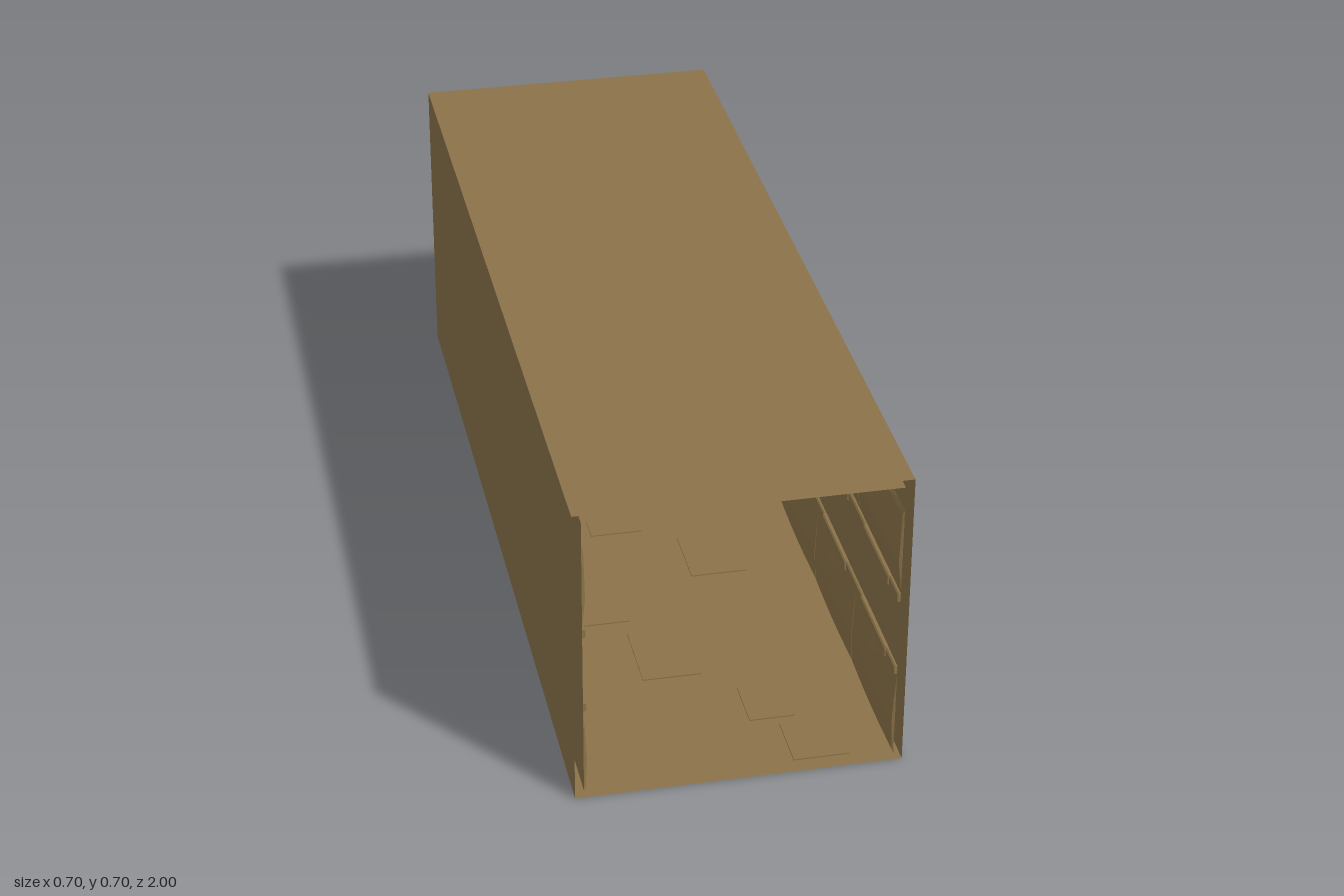
import * as THREE from 'three';

export function createModel() {
  const root = new THREE.Group();
  root.name = 'corridor';
  const tan = new THREE.MeshStandardMaterial({ color: 0x8b7349, side: THREE.DoubleSide, flatShading: true });
  tan.name = 'tan metal';

  const add = (geometry, name, x = 0, y = 0, z = 0, parent = root) => {
    const mesh = new THREE.Mesh(geometry, tan);
    mesh.name = name;
    mesh.position.set(x, y, z);
    parent.add(mesh);
    return mesh;
  };

  // Open-ended rectangular sleeve made of four thin sheets
  const sleeve = (name, hw, y0, y1, facing) => {
    const group = new THREE.Group();
    group.name = name;
    root.add(group);
    const mid = (y0 + y1) / 2;
    const flat = new THREE.PlaneGeometry(2 * hw, 2);
    const side = new THREE.PlaneGeometry(2, y1 - y0);
    for (const s of [-1, 1]) {
      add(flat, s > 0 ? 'ceilingSheet' : 'floorSheet', 0, s > 0 ? y1 : y0, 0, group)
        .rotation.x = -s * facing * Math.PI / 2;
      add(side, 'wallSheet', s * hw, mid, 0, group).rotation.y = s * facing * Math.PI / 2;
    }
  };
  sleeve('outerShell', 0.352, 0, 0.697, 1);
  sleeve('innerLining', 0.333, 0.017, 0.68, -1);

  // Padded wall panel: a ridge profile swept along z and tapered at its ends
  const paddedPanel = (profile, length) => {
    const stations = [[0, 0], [0.005, 0.6], [0.12, 0.75], [0.3, 0.93], [0.5, 1],
      [0.7, 0.93], [0.88, 0.75], [0.995, 0.6], [1, 0]];
    const pos = [], index = [], n = profile.length;
    for (const [t, f] of stations)
      for (const [y, d] of profile) pos.push(d * f, y, (t - 0.5) * length);
    for (let i = 0; i < stations.length - 1; i++)
      for (let j = 0; j < n - 1; j++) {
        const a = i * n + j, b = a + n;
        index.push(a, a + 1, b, b, a + 1, b + 1);
      }
    const g = new THREE.BufferGeometry();
    g.setAttribute('position', new THREE.Float32BufferAttribute(pos, 3));
    g.setIndex(index);
    g.computeVertexNormals();
    return g;
  };
  const pitch = 1 / 3;
  const lower = paddedPanel([[0.017, 0], [0.027, 0.007], [0.1, 0.012], [0.16, 0.007], [0.22, 0.001]], pitch);
  const upper = paddedPanel([[0.425, 0.001], [0.465, 0.007], [0.5, 0.012], [0.615, 0.007], [0.625, 0]], pitch);

  // Rail section with chamfered inner corners, swept along z
  const railBar = (h, d, length) => {
    const c = 0.003;
    const s = new THREE.Shape([[0, -h / 2], [d - c, -h / 2], [d, -h / 2 + c], [d, h / 2 - c], [d - c, h / 2], [0, h / 2]]
      .map(([x, y]) => new THREE.Vector2(x, y)));
    return new THREE.ExtrudeGeometry(s, { depth: length, bevelEnabled: false }).translate(0, 0, -length / 2);
  };
  const rail = railBar(0.02, 0.007, 2);
  const clip = railBar(0.022, 0.01, 0.2);

  // The left wall is the right wall turned half round
  for (const turn of [0, Math.PI]) {
    const wall = new THREE.Group();
    wall.name = turn ? 'leftWallTrim' : 'rightWallTrim';
    wall.rotation.y = turn;
    root.add(wall);
    for (let i = 0; i < 6; i++) {
      const z = -1 + pitch * (i + 0.5);
      add(lower, 'lowerPanel', -0.333, 0, z, wall);
      add(upper, 'upperPanel', -0.333, 0, z, wall);
      for (const y of [0.231, 0.413]) add(clip, 'railClip', -0.333, y, z, wall);
    }
    for (const y of [0.231, 0.413]) add(rail, 'wallRail', -0.333, y, 0, wall);
  }

  // Thin floor plates: x, z, width, length
  const plates = [
    [0.18, 0.92, 0.12, 0.13], [0.11, 0.77, 0.1, 0.12], [-0.07, 0.55, 0.13, 0.18],
    [-0.18, 0.33, 0.12, 0.16], [0.12, 0.18, 0.13, 0.16], [-0.08, -0.02, 0.12, 0.14],
    [0.18, -0.3, 0.12, 0.14], [-0.08, -0.5, 0.14, 0.16], [0.1, -0.8, 0.12, 0.15],
    [-0.11, -0.87, 0.1, 0.1], [0.19, -0.94, 0.1, 0.1],
  ];
  for (const [x, z, w, l] of plates)
    add(new THREE.BoxGeometry(w, 0.003, l), 'floorPlate', x, 0.0185, z);

  return root;
}
